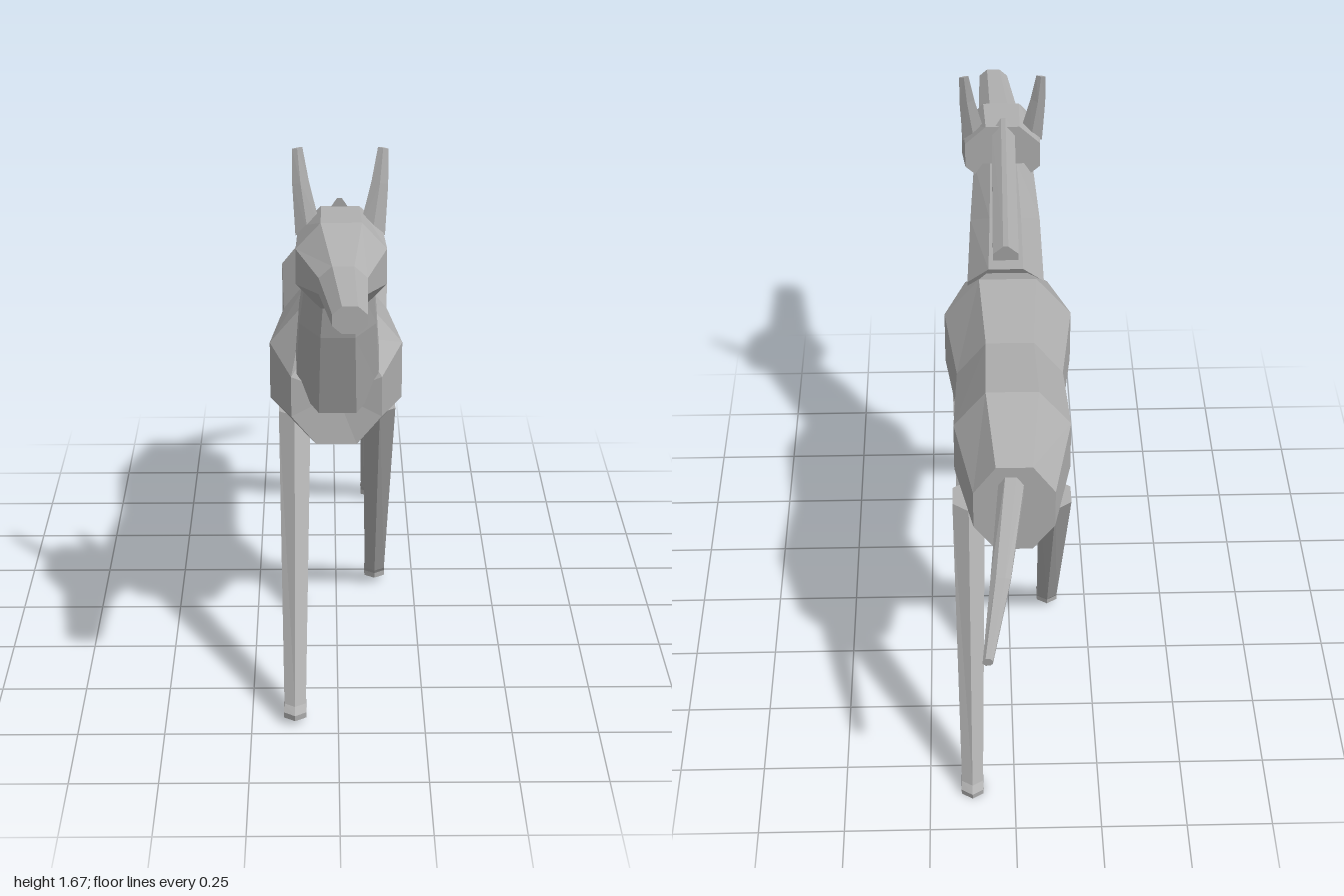
import * as THREE from 'three';

const coat = new THREE.MeshStandardMaterial({ color: 0xb0b0b0, flatShading: true });
coat.name = 'grey coat';

// Skin a closed solid over rings that all have the same number of points.
function loft(name, rings) {
  const n = rings[0].length, tris = [];
  const mid = r => r.reduce((s, p) => s.add(p), new THREE.Vector3()).divideScalar(n);
  for (let i = 0; i < rings.length - 1; i++) {
    for (let j = 0; j < n; j++) {
      const k = (j + 1) % n, a = rings[i], b = rings[i + 1];
      tris.push([a[j], a[k], b[k]], [a[j], b[k], b[j]]);
    }
  }
  const first = rings[0], last = rings[rings.length - 1];
  const c0 = mid(first), c1 = mid(last);
  for (let j = 0; j < n; j++) {
    const k = (j + 1) % n;
    tris.push([c0, first[k], first[j]], [c1, last[j], last[k]]);
  }
  // Turn the faces outward whichever way the rings run
  const cross = new THREE.Vector3();
  const volume = tris.reduce((s, [a, b, c]) => s + a.dot(cross.crossVectors(b, c)), 0);
  if (volume < 0) tris.forEach(t => t.reverse());
  const geo = new THREE.BufferGeometry().setFromPoints(tris.flat());
  geo.computeVertexNormals();
  const mesh = new THREE.Mesh(geo, coat);
  mesh.name = name;
  return mesh;
}

// Chamfered eight-sided section between a top and a bottom [z, y] point.
function section(x, w, [zt, yt], [zb, yb], k = 0.45) {
  const outline = [[k, 0], [1, 0.3], [1, 0.71], [k, 1], [-k, 1], [-1, 0.71], [-1, 0.3], [-k, 0]];
  return outline.map(([s, f]) =>
    new THREE.Vector3(x + s * w, yt + (yb - yt) * f, zt + (zb - zt) * f));
}

// Level six-sided ring with corners facing front and back.
function hex(x, y, z, rx, rz) {
  return Array.from({ length: 6 }, (_, i) => {
    const a = i * Math.PI / 3;
    return new THREE.Vector3(x + Math.sin(a) * rx, y, z + Math.cos(a) * rz);
  });
}

export function createModel() {
  const model = new THREE.Group();
  model.name = 'deer';

  // Body: z, half width, top, bottom
  const trunk = [
    [0.41, 0.13, 1.06, 0.76],
    [0.2, 0.195, 1.12, 0.695],
    [-0.1, 0.158, 1.095, 0.73],
    [-0.4, 0.168, 1.14, 0.755],
    [-0.64, 0.115, 1.06, 0.765],
  ].map(([z, w, t, b]) => section(-0.003, w, [z, t], [z, b]));
  trunk[0][0].z = trunk[0][7].z = 0.33; // sloping withers at the neck
  model.add(loft('body', trunk));

  // Neck and mane ridge
  model.add(loft('neck', [
    section(0, 0.12, [0.3, 1.09], [0.414, 0.86]),
    section(0, 0.108, [0.375, 1.23], [0.51, 1.13]),
    section(0.004, 0.09, [0.45, 1.38], [0.555, 1.32]),
  ]));
  model.add(loft('mane', [
    section(0, 0.04, [0.305, 1.17], [0.32, 1.07], 0.2),
    section(0.004, 0.035, [0.475, 1.525], [0.46, 1.38], 0.2),
  ]));

  // Head and long muzzle: z, centre x, half width, top, bottom
  model.add(loft('head', [
    [0.465, 0.006, 0.115, 1.5, 1.305],
    [0.61, 0.008, 0.123, 1.5, 1.255],
    [0.73, 0.012, 0.065, 1.42, 1.31],
    [1.0, 0.026, 0.045, 1.41, 1.335],
  ].map(([z, x, w, t, b]) => section(x, w, [z, t], [z, b]))));

  // Ears: thin tapering blades
  for (const [side, name] of [[1, 'leftEar'], [-1, 'rightEar']]) {
    const blade = (inner, outer, yi, yo, z, d) => [
      [inner, yi, 0], [(inner + outer) / 2, (yi + yo) / 2, d],
      [outer, yo, 0], [(inner + outer) / 2, (yi + yo) / 2, -d],
    ].map(([x, y, dz]) => new THREE.Vector3(0.006 + side * x, y, z + dz));
    model.add(loft(name, [
      blade(0.055, 0.122, 1.46, 1.43, 0.508, 0.012),
      blade(0.085, 0.13, 1.58, 1.57, 0.49, 0.008),
      blade(0.102, 0.13, 1.67, 1.665, 0.475, 0.004),
    ]));
  }

  // Tail, drifting to the left as it drops
  model.add(loft('tail', [
    section(0.005, 0.036, [-0.63, 1.035], [-0.63, 0.94]),
    section(0.04, 0.028, [-0.85, 0.845], [-0.83, 0.805]),
    section(0.078, 0.014, [-1.0, 0.685], [-0.995, 0.655]),
  ]));

  // Legs: name, x, hip z, foot z, foot y
  for (const [name, x, hip, foot, y] of [
    ['frontLeftLeg', 0.125, 0.22, -0.19, 0.022],
    ['frontRightLeg', -0.125, 0.24, 0.675, 0.02],
    ['hindLeftLeg', 0.125, -0.45, -0.842, 0],
    ['hindRightLeg', -0.125, -0.45, -0.02, 0.018],
  ]) {
    const lean = (foot - hip) / 0.8;
    model.add(loft(name, [
      hex(x, 0.805, hip, 0.054, 0.07),
      hex(x, y + 0.035, foot - lean * 0.035, 0.036, 0.039),
      hex(x, y + 0.018, foot, 0.038, 0.043),
      hex(x, y, foot, 0.037, 0.041),
    ]));
  }
  return model;
}
